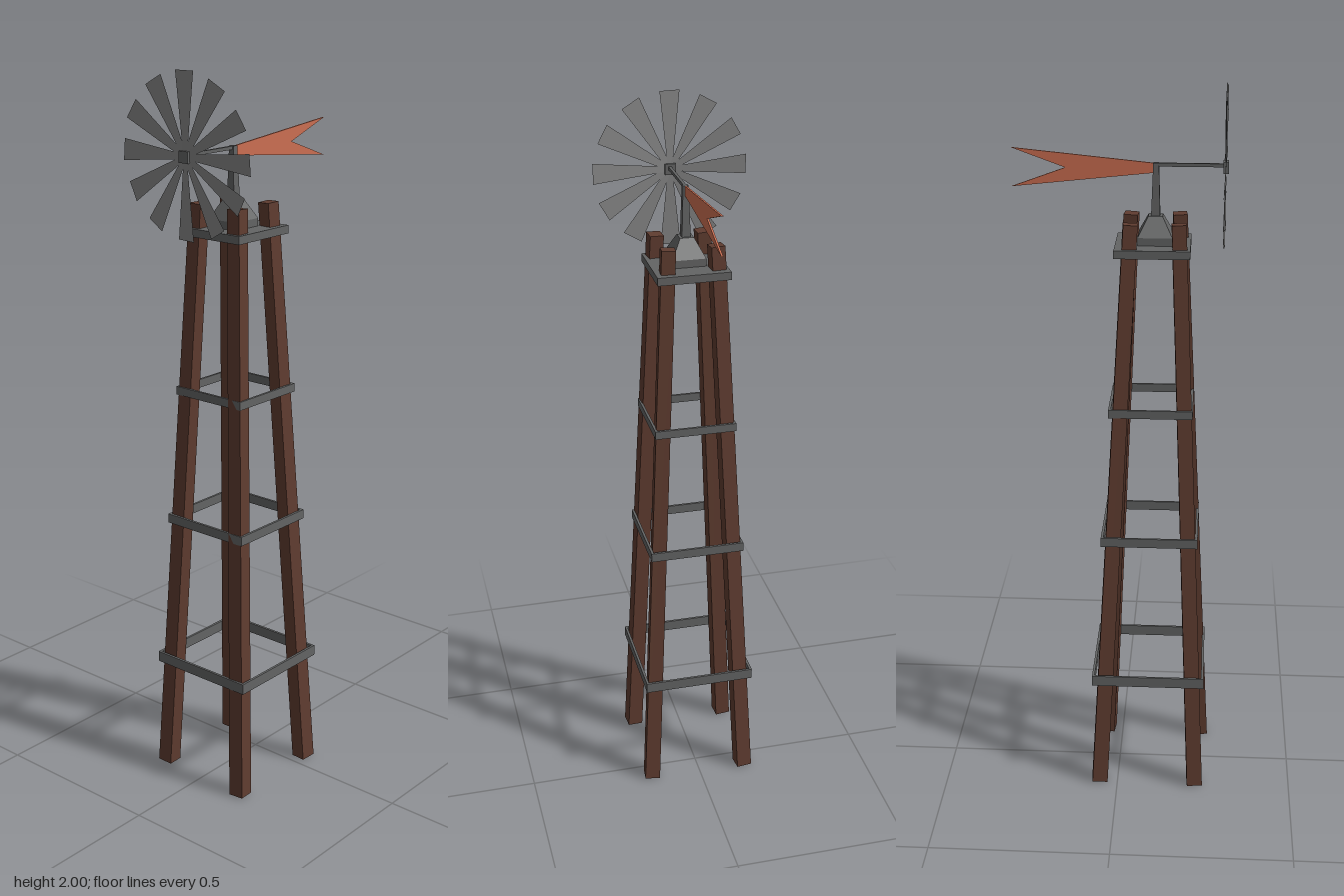
import * as THREE from 'three';

const flat = (name, color, side = THREE.FrontSide) => {
  const m = new THREE.MeshStandardMaterial({ color, flatShading: true, side });
  m.name = name;
  return m;
};

export function createModel() {
  const group = new THREE.Group();
  const wood = flat('brown wood', 0x5f3c30);
  const iron = flat('dark grey iron', 0x636464);
  const tin = flat('light grey tin', 0x868686, THREE.DoubleSide);
  const red = flat('faded red', 0xcc6f52);
  const cx = 0.003, cz = 0.09; // tower axis

  const add = (name, geometry, material, x = 0, y = 0, z = 0, parent = group) => {
    const mesh = new THREE.Mesh(geometry, material);
    mesh.name = name;
    mesh.position.set(x, y, z);
    parent.add(mesh);
    return mesh;
  };
  // square post standing on its own centre, with different widths at each end
  const taperedBox = (top, bottom, height) =>
    new THREE.CylinderGeometry(top * Math.SQRT1_2, bottom * Math.SQRT1_2, height, 4).rotateY(Math.PI / 4);

  // Four leaning legs: bottom x, z, top x, z, twist
  const legs = [
    ['backRightLeg', -0.136, -0.052, -0.065, 0.029, 0.08],
    ['backLeftLeg', 0.146, -0.045, 0.066, 0.026, -0.1],
    ['frontRightLeg', -0.141, 0.225, -0.06, 0.156, 0.06],
    ['frontLeftLeg', 0.143, 0.237, 0.071, 0.156, 0.08],
  ];
  for (const [name, bx, bz, tx, tz, twist] of legs) {
    const a = new THREE.Vector3(bx, 0.003, bz), b = new THREE.Vector3(tx, 1.648, tz);
    const dir = b.clone().sub(a);
    const leg = add(name, taperedBox(0.038, 0.044, dir.length()).rotateY(twist), wood);
    leg.position.copy(a).add(b).multiplyScalar(0.5);
    leg.quaternion.setFromUnitVectors(new THREE.Vector3(0, 1, 0), dir.normalize());
  }

  // Square bands around the legs: height, half width, band height
  const t = 0.007;
  for (const [y, h, bandHeight] of [[0.34, 0.159, 0.03], [0.765, 0.134, 0.026], [1.137, 0.114, 0.023]]) {
    const band = new THREE.Group();
    band.name = 'braceBand';
    band.position.set(cx, y, 0.087);
    for (const s of [-1, 1]) {
      add('braceBar', new THREE.BoxGeometry(h * 2, bandHeight, t), iron, 0, 0, s * (h - t / 2), band);
      add('braceBar', new THREE.BoxGeometry(t, bandHeight, (h - t) * 2), iron, s * (h - t / 2), 0, 0, band);
    }
    group.add(band);
  }

  // Platform, pyramid mount and mast
  add('platform', new THREE.BoxGeometry(0.2, 0.022, 0.2), iron, cx, 1.574, 0.087);
  add('mountBase', new THREE.BoxGeometry(0.092, 0.022, 0.092), iron, cx, 1.595, cz + 0.003);
  add('mount', taperedBox(0.038, 0.092, 0.052), iron, cx, 1.632, cz + 0.003);
  add('mast', taperedBox(0.015, 0.024, 0.14), iron, cx, 1.726, cz + 0.003);
  add('shaft', new THREE.BoxGeometry(0.008, 0.009, 0.19), iron, cx, 1.791, 0.181);

  // Forked tail vane, drawn in the y-z plane
  const vane = new THREE.Shape([
    [-0.09, 1.795], [0.286, 1.832], [0.145, 1.781], [0.286, 1.73], [-0.09, 1.77],
  ].map(([x, y]) => new THREE.Vector2(x, y)));
  add('tailVane', new THREE.ExtrudeGeometry(vane, { depth: 0.005, bevelEnabled: false })
    .translate(0, 0, -0.0025).rotateY(Math.PI / 2), red, cx);

  // Wheel of twelve slightly pitched blades
  const wheel = new THREE.Group();
  wheel.name = 'windWheel';
  wheel.position.set(0.001, 1.787, 0.274);
  const blade = new THREE.ShapeGeometry(new THREE.Shape([
    [-0.007, 0.012], [0.007, 0.012], [0.028, 0.213], [-0.028, 0.213],
  ].map(([x, y]) => new THREE.Vector2(x, y)))).rotateY(0.09);
  for (let i = 0; i < 12; i++) add('blade', blade, tin, 0, 0, 0, wheel).rotation.z = i * Math.PI / 6;
  add('hub', new THREE.BoxGeometry(0.03, 0.03, 0.014), iron, 0, 0, 0.001, wheel);
  group.add(wheel);

  return group;
}
